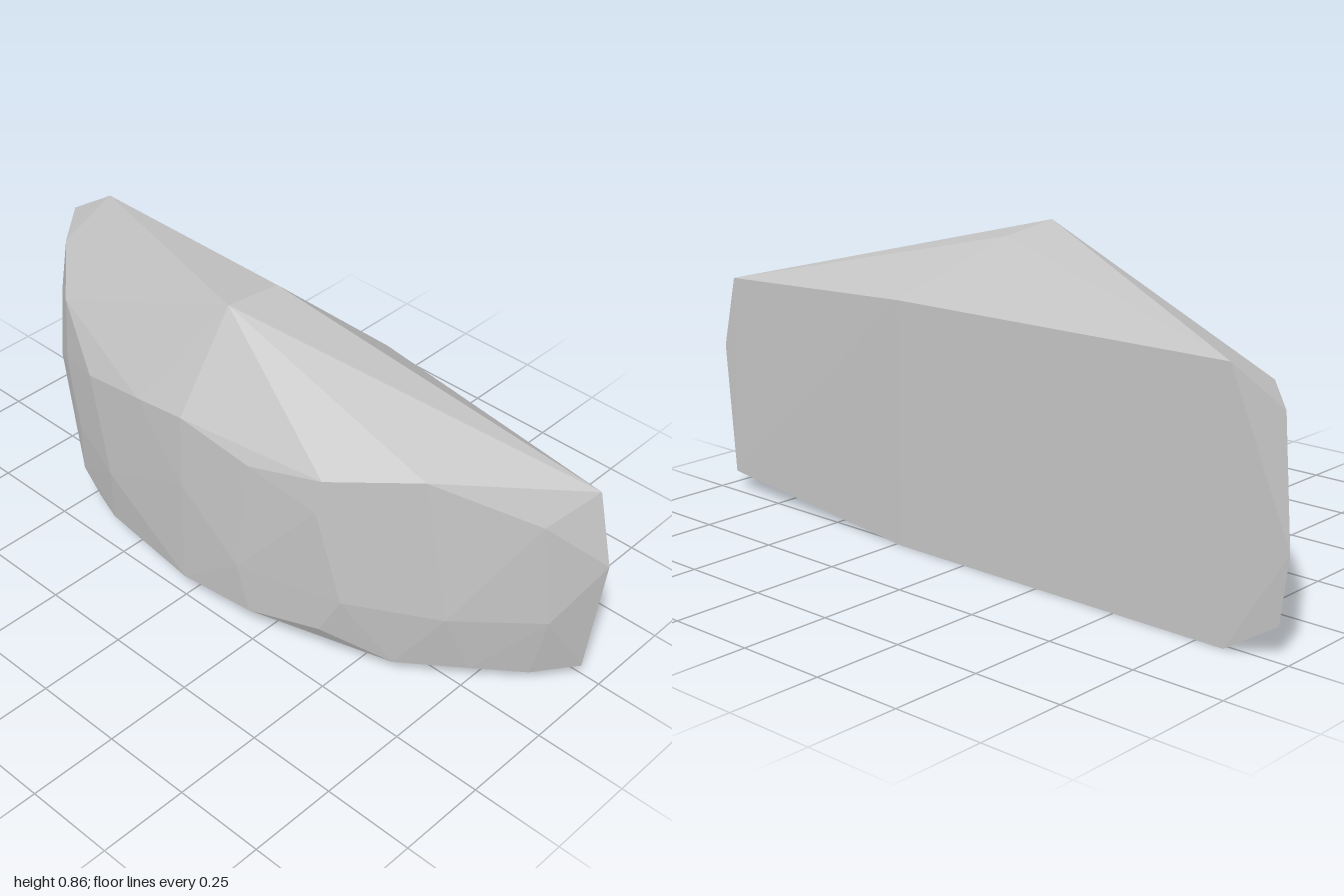
import * as THREE from 'three';
import { ConvexGeometry } from 'three/addons/geometries/ConvexGeometry.js';

// Depth of the curved front wall at a given x (arc of a circle)
const RADIUS = 1.208;
const arcZ = (x) => 0.268 - RADIUS + Math.sqrt(RADIUS * RADIUS - x * x);

export function createModel() {
  const group = new THREE.Group();
  group.name = 'boulder';
  const stone = new THREE.MeshStandardMaterial({ color: 0xc4c4c4, flatShading: true });
  stone.name = 'pale grey stone';

  // Summit, nearly flat back and flat base
  const corners = [
    [0.01, 0.863, 0.09], [0.01, 0.842, -0.085],
    [-0.83, 0.685, -0.267], [0.23, 0.672, -0.267], [0.95, 0.625, -0.215],
    [-0.83, 0, -0.267], [0.23, 0, -0.267], [0.955, 0.05, -0.228],
    [-0.97, 0.595, -0.25], [-1, 0.27, -0.26], [-0.97, 0.088, -0.25],
    [1, 0.42, -0.215],
    [-0.47, 0.008, 0.135], [0.45, 0, 0.09],
  ];

  // Facet corners on the curved front: x, y, offset out from the arc
  const facets = [
    // upper rim
    [-0.83, 0.61, -0.03], [-0.63, 0.585, -0.005], [-0.4, 0.505, 0.008],
    [-0.16, 0.575, -0.005], [0.01, 0.608, -0.004], [0.23, 0.565, 0],
    [0.43, 0.6, 0.008], [0.65, 0.648, -0.005], [0.88, 0.54, 0.012],
    // middle
    [-0.88, 0.42, 0.005], [-0.78, 0.28, 0.008], [-0.6, 0.415, 0.01],
    [-0.49, 0.27, 0.012], [-0.3, 0.24, 0.008], [0.01, 0.4, 0.001],
    [0.2, 0.23, 0.006], [0.42, 0.5, 0.013], [0.49, 0.235, 0.018],
    [0.72, 0.235, 0.018], [0.91, 0.235, 0.022],
    // lower rim
    [-0.8, 0.085, -0.02], [-0.5, 0.11, 0.004], [-0.32, 0.068, -0.008],
    [0.01, 0.078, -0.006], [0.23, 0.085, -0.002], [0.43, 0.115, 0.004],
    [0.6, 0.047, -0.012], [0.76, 0.057, -0.014], [0.87, 0.042, -0.02],
  ];

  const points = [
    ...corners.map((p) => new THREE.Vector3(...p)),
    ...facets.map(([x, y, out]) => new THREE.Vector3(x, y, arcZ(x) + out)),
  ];
  const rock = new THREE.Mesh(new ConvexGeometry(points), stone);
  rock.name = 'rock';
  group.add(rock);
  return group;
}
